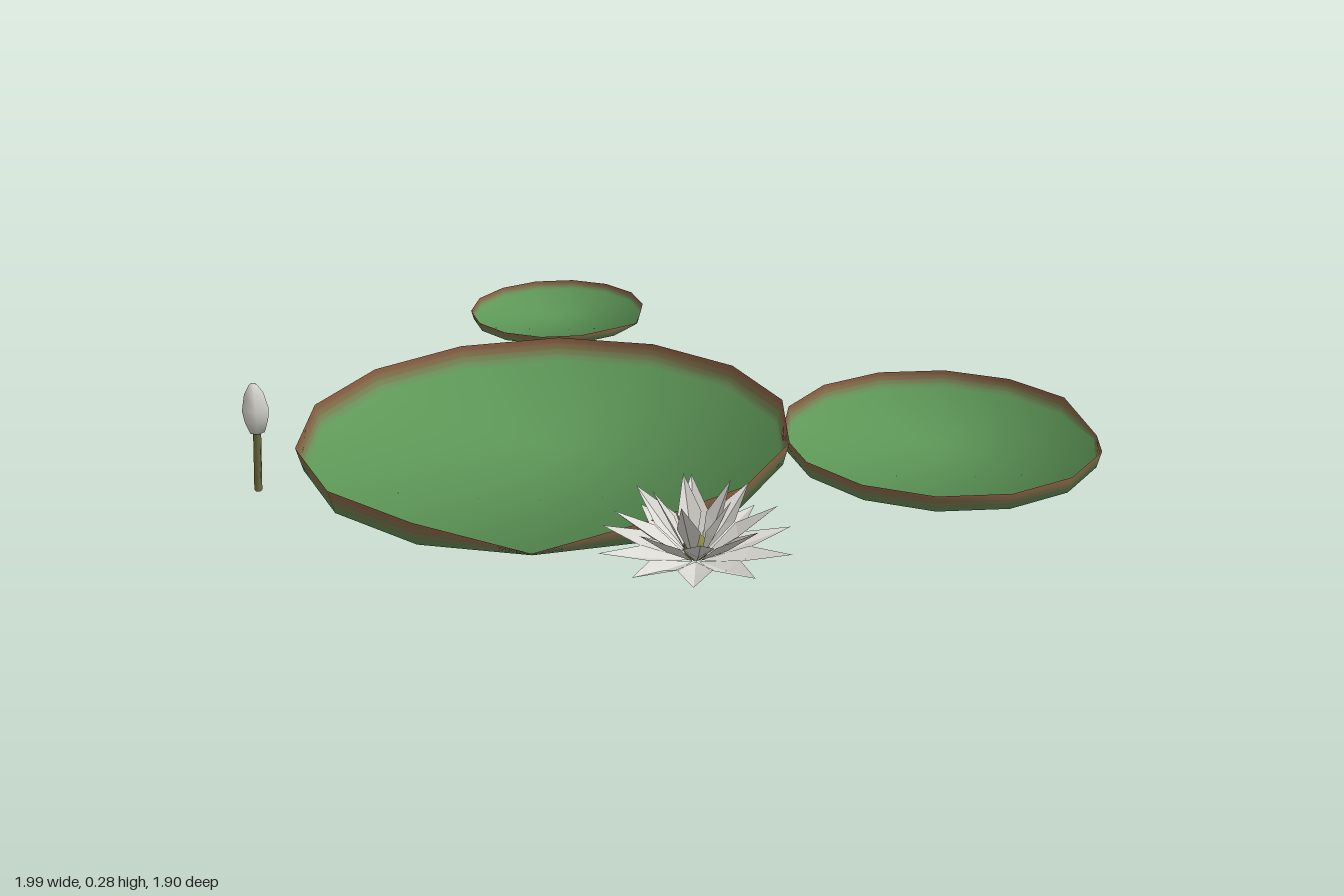
import * as THREE from 'three';

const mat = (name, color, side = THREE.FrontSide) => {
  const m = new THREE.MeshStandardMaterial({ color, side });
  m.name = name;
  return m;
};

export function createModel() {
  const two = THREE.DoubleSide;
  const leafGreen = mat('leaf green', 0x5e9858, two);
  const mossGreen = mat('moss green', 0x68905a, two);
  const olive = mat('olive', 0x758252, two);
  const russet = mat('russet', 0x82704b, two);
  const rimBrown = mat('rim brown', 0x8f6245, two);
  const petalWhite = mat('petal white', 0xdcdad4, two);
  const budWhite = mat('bud white', 0xd6d4ce);
  const heartOlive = mat('heart olive', 0x85853f);
  const stemOlive = mat('stem olive', 0x6f7043);
  const padMaterials = [leafGreen, mossGreen, olive, russet, rimBrown];

  const model = new THREE.Group();
  model.name = 'waterLilies';
  const add = (parent, name, geometry, material, x = 0, y = 0, z = 0) => {
    const mesh = new THREE.Mesh(geometry, material);
    mesh.name = name;
    mesh.position.set(x, y, z);
    parent.add(mesh);
    return mesh;
  };

  // Floating pad: flat disc and a flared rim in bands, with one rim corner folded down
  function padGeometry(radius, height, notchAngle, notchHeight) {
    const sides = 14, bands = 4;
    const pos = [0, 0, 0], nor = [0, 1, 0], index = [];
    for (let k = 0; k <= bands; k++) {
      const t = k / bands;
      const r = radius * (0.975 + 0.025 * t);
      const tilt = Math.PI / 4 * (1 + t);
      for (let i = 0; i < sides; i++) {
        const a = notchAngle + i / sides * Math.PI * 2;
        const c = Math.cos(a), s = Math.sin(a);
        pos.push(c * r, t * (i === 0 ? notchHeight : height), s * r);
        nor.push(-c * Math.sin(tilt), Math.cos(tilt), -s * Math.sin(tilt));
      }
    }
    const g = new THREE.BufferGeometry();
    const at = (k, i) => 1 + k * sides + i % sides;
    for (let i = 0; i < sides; i++) index.push(0, at(0, i + 1), at(0, i));
    g.addGroup(0, index.length, 0);
    for (let k = 0; k < bands; k++) {
      const start = index.length;
      for (let i = 0; i < sides; i++) {
        index.push(at(k, i), at(k, i + 1), at(k + 1, i + 1));
        index.push(at(k, i), at(k + 1, i + 1), at(k + 1, i));
      }
      g.addGroup(start, index.length - start, k + 1);
    }
    g.setAttribute('position', new THREE.Float32BufferAttribute(pos, 3));
    g.setAttribute('normal', new THREE.Float32BufferAttribute(nor, 3));
    g.setIndex(index);
    return g;
  }
  add(model, 'largePad', padGeometry(0.627, 0.062, 1.213, 0.012), padMaterials, -0.37, 0.02, 0.22);
  add(model, 'mediumPad', padGeometry(0.41, 0.044, -0.414, 0.009), padMaterials, 0.58, 0.02, -0.115);
  add(model, 'smallPad', padGeometry(0.262, 0.026, 0, 0.006), padMaterials, -0.738, 0.02, -0.7);

  // Pointed petal along +x, creased along its middle
  function petalGeometry(reach, rise, width) {
    const base = [0.012, 0, 0], tip = [reach, rise, 0];
    const mid = [reach * 0.52, rise * 0.42, 0];
    const left = [reach * 0.5, rise * 0.5 + 0.008, -width / 2];
    const right = [reach * 0.5, rise * 0.5 + 0.008, width / 2];
    const faces = [base, mid, left, mid, tip, left, base, right, mid, mid, right, tip];
    const g = new THREE.BufferGeometry();
    g.setAttribute('position', new THREE.Float32BufferAttribute(faces.flat(), 3));
    g.computeVertexNormals();
    return g;
  }

  // Flower: three rows of petals, steeper towards the middle
  const flower = new THREE.Group();
  flower.name = 'flower';
  flower.position.set(0.215, 0.045, 0.737);
  model.add(flower);
  const rows = [
    { name: 'outerPetal', count: 10, reach: 0.222, rise: 0.048, width: 0.08, turn: 0 },
    { name: 'middlePetal', count: 8, reach: 0.18, rise: 0.125, width: 0.07, turn: Math.PI / 8 },
    { name: 'innerPetal', count: 5, reach: 0.095, rise: 0.168, width: 0.055, turn: 0.95 },
  ];
  for (const { name, count, reach, rise, width, turn } of rows) {
    const g = petalGeometry(reach, rise, width);
    for (let i = 0; i < count; i++) {
      add(flower, name, g, petalWhite).rotation.y = turn + i / count * Math.PI * 2;
    }
  }
  add(flower, 'flowerHeart', new THREE.SphereGeometry(0.03, 8, 6), heartOlive, 0, 0.03, 0);

  // Closed bud on a leaning stem
  const profile = [[0, 0], [0.018, 0.002], [0.029, 0.035], [0.033, 0.065], [0.024, 0.105], [0.011, 0.125], [0, 0.13]]
    .map(([r, y]) => new THREE.Vector2(r, y));
  add(model, 'bud', new THREE.LatheGeometry(profile, 5, Math.PI), budWhite, -0.938, 0.153, 0.652);
  const stemPath = new THREE.LineCurve3(new THREE.Vector3(-0.95, 0, 0.655), new THREE.Vector3(-0.938, 0.165, 0.652));
  add(model, 'budStem', new THREE.TubeGeometry(stemPath, 1, 0.01, 5), stemOlive);

  return model;
}
